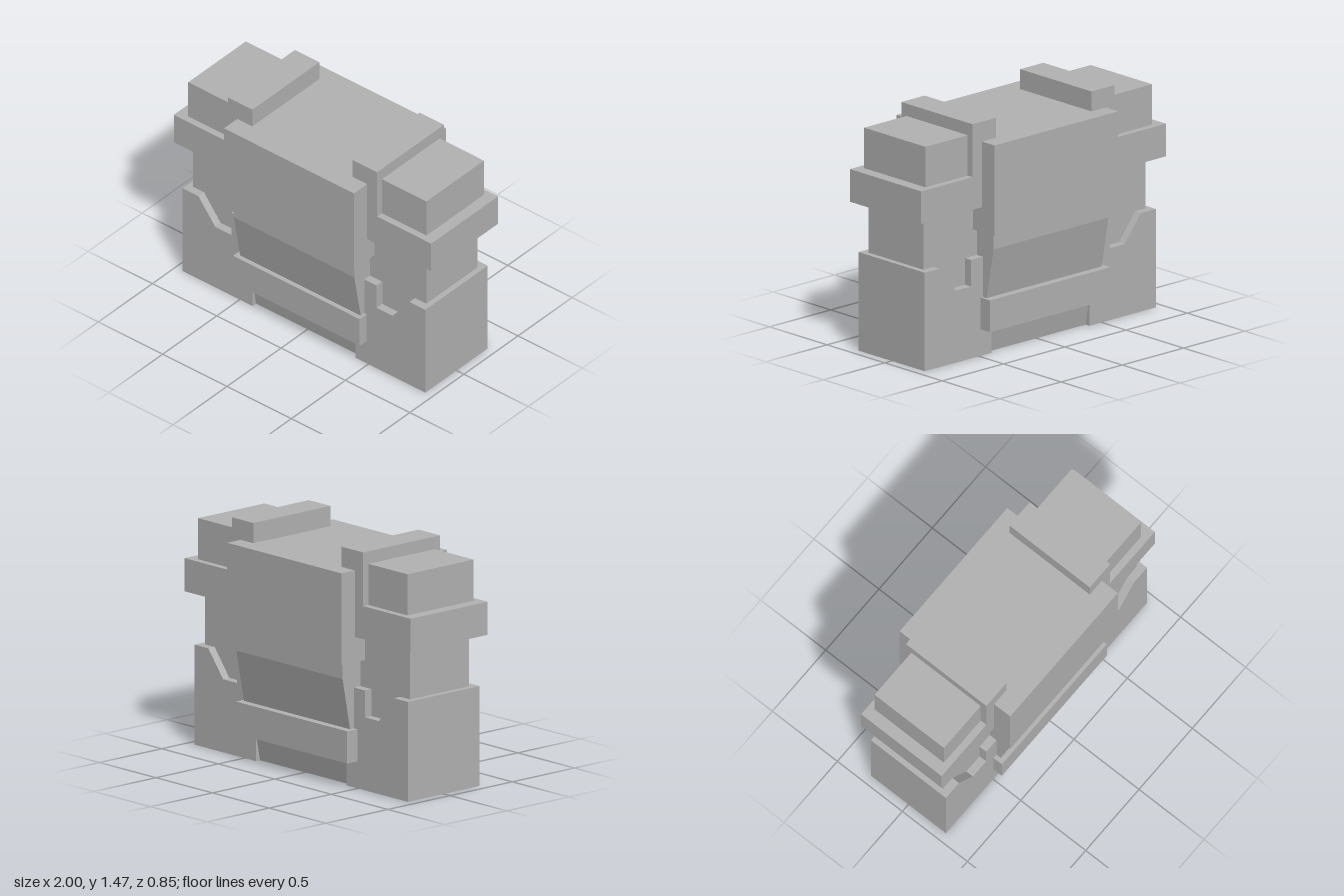
import * as THREE from 'three';

export function createModel() {
  const model = new THREE.Group();
  const grey = new THREE.MeshStandardMaterial({ color: 0xb2b2b2 });
  grey.name = 'plain grey';

  function add(name, geometry) {
    const mesh = new THREE.Mesh(geometry, grey);
    mesh.name = name;
    model.add(mesh);
    return mesh;
  }

  // box given by its limits on each axis
  function block(name, [x0, x1], [y0, y1], [z0, z1]) {
    const mesh = add(name, new THREE.BoxGeometry(Math.abs(x1 - x0), y1 - y0, z1 - z0));
    mesh.position.set((x0 + x1) / 2, (y0 + y1) / 2, (z0 + z1) / 2);
  }

  // outline extruded evenly about its own plane
  function prism(points, depth) {
    const shape = new THREE.Shape(points.map(([x, y]) => new THREE.Vector2(x, y)));
    return new THREE.ExtrudeGeometry(shape, { depth, bevelEnabled: false }).translate(0, 0, -depth / 2);
  }

  // chest and belt
  block('chest', [-0.507, 0.503], [0.78, 1.343], [-0.425, 0.425]);
  block('belt', [-0.497, 0.487], [0.165, 0.363], [-0.37, 0.353]);

  // waist tapering down, front and back
  const taper = [[0.255, 0], [0.322, 0.365], [0.381, 0.68], [0.381, 0.8]];
  const outline = [...taper, ...taper.map(([z, y]) => [-z, y]).reverse()];
  add('waist', prism(outline, 0.938).rotateY(-Math.PI / 2));

  for (const s of [1, -1]) {
    const side = s > 0 ? 'left' : 'right';
    const span = (a, b) => [s * a, s * b];

    // shoulder: raised strap, wide pad and top block
    block(side + 'Strap', span(0.39, 0.58), [0.935, 1.467], [-0.317, 0.302]);
    block(side + 'ShoulderPad', span(0.45, 1), [0.935, 1.138], [-0.317, 0.302]);
    block(side + 'ShoulderTop', span(0.5, 0.925), [1.1, 1.39], [-0.275, 0.258]);

    // upper arm set into the forearm
    block(side + 'UpperArm', span(0.3, 0.907), [0.3, 1], [-0.237, 0.237]);

    // forearm with a notch in its top edge
    const notch = [
      [0.4, 0], [0.943, 0], [0.943, 0.613], [0.82, 0.613],
      [0.69, 0.448], [0.565, 0.448], [0.565, 0.613], [0.4, 0.613],
    ];
    add(side + 'Forearm', prism(notch.map(([x, y]) => [s * x, y]), 0.576));
  }

  return model;
}
